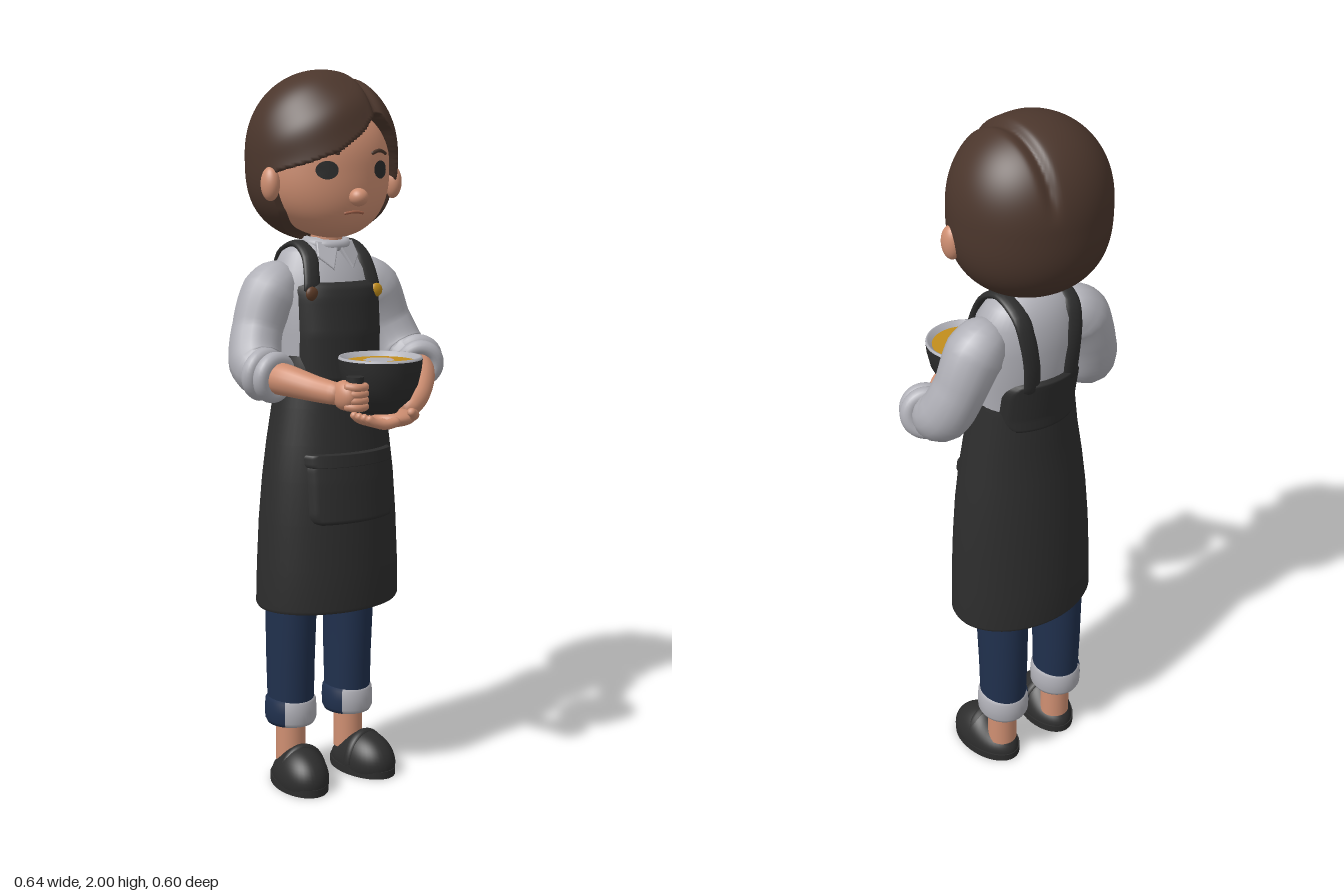
import * as THREE from 'three';
import { mergeVertices } from 'three/addons/utils/BufferGeometryUtils.js';

const mat = (name, color, side = THREE.FrontSide) => {
  const m = new THREE.MeshStandardMaterial({ color, side });
  m.name = name;
  return m;
};
const M = {
  hair: mat('brown hair', 0x4b362c),
  skin: mat('skin', 0xcf8f72),
  cloth: mat('light grey cloth', 0xb0b0b7, THREE.DoubleSide),
  apron: mat('charcoal', 0x2d2d2d, THREE.DoubleSide),
  denim: mat('dark denim', 0x20304d, THREE.DoubleSide),
  gold: mat('gold', 0xc28e1c, THREE.DoubleSide),
  lip: mat('lip', 0xa5644c),
  copper: mat('dark copper', 0x5e3c28),
};
const V = (x, y, z) => new THREE.Vector3(x, y, z);
const smooth = THREE.MathUtils.smoothstep;

// Move each vertex by a rule, weld seams and recompute smooth normals
function deform(geo, fn) {
  const p = geo.attributes.position, v = V();
  for (let i = 0; i < p.count; i++) {
    fn(v.fromBufferAttribute(p, i), i);
    p.setXYZ(i, v.x, v.y, v.z);
  }
  geo.deleteAttribute('uv');
  geo.deleteAttribute('normal');
  geo = mergeVertices(geo, 1e-5);
  geo.computeVertexNormals();
  return geo;
}

// Vertical loft; rows from top to bottom: [y, centreX, centreZ, radiusX, radiusZ]
function loft(rows) {
  const n = rows.length - 1;
  return deform(new THREE.CylinderGeometry(1, 1, 1, 48, n, true), (v) => {
    const r = rows[Math.round((0.5 - v.y) * n)];
    v.set(r[1] + v.x * r[3], r[0], r[2] + v.z * r[4]);
  });
}

// Front (s = 1) or back (s = -1) depth of a loft at x, y
function surf(rows, x, y, s) {
  let i = 0;
  while (i < rows.length - 2 && rows[i + 1][0] > y) i++;
  const a = rows[i], b = rows[i + 1];
  const t = THREE.MathUtils.clamp((a[0] - y) / (a[0] - b[0]), 0, 1);
  const [, cx, cz, rx, rz] = a.map((k, j) => k + (b[j] - k) * t);
  return cz + s * rz * Math.sqrt(Math.max(0, 1 - ((x - cx) / rx) ** 2));
}

// Cloth panel laid on a loft, with tucked edges and rounded corners
function panel(rows, w, y0, y1, s, off, corner) {
  return deform(new THREE.PlaneGeometry(2, 1, 24, 24), (v) => {
    const edge = Math.abs(v.x) > 0.99 || Math.abs(v.y) > 0.49;
    const y = y0 + (v.y + 0.5) * (y1 - y0);
    const d = Math.min(1, Math.min(y - y0, y1 - y) / corner);
    const x = v.x * (w - corner * (1 - Math.sqrt(Math.max(0, 1 - (1 - d) ** 2))));
    v.set(x, y, surf(rows, x, y, s) + s * (edge ? -0.004 : off));
  });
}

// Round-ended tube with a changing radius; sx widens it along x
function limb(points, radii, sx = 1) {
  const curve = new THREE.CatmullRomCurve3(points.map((p) => V(...p)));
  const seg = 28, rad = 16, len = curve.getLength();
  return deform(new THREE.TubeGeometry(curve, seg, 1, rad), (v, i) => {
    const t = Math.floor(i / (rad + 1)) / seg, c = curve.getPointAt(t);
    const k = Math.min(t * (radii.length - 1), radii.length - 1.0001), j = Math.floor(k);
    const r = radii.length < 2 ? radii[0] : radii[j] + (radii[j + 1] - radii[j]) * (k - j);
    const d = Math.min(1, Math.min(t, 1 - t) * len / r);
    v.sub(c).multiplyScalar(r * Math.sqrt(1 - (1 - d) ** 2));
    v.x *= sx;
    v.add(c);
  });
}

// Head surface: section size and depth for height t in -1..1
const HEAD = { y: 1.738, z: -0.09, rx: 0.186, ry: 0.185, rz: 0.163 };
const headW = (t) => Math.sqrt(Math.max(0, 1 - Math.abs(t) ** 2.4)) * (t < 0 ? 1 - 0.06 * t * t : 1);
const headShift = (t) => (t < 0 ? 0.045 * t * t : 0);
function headZ(x, y) {
  const t = (y - HEAD.y) / HEAD.ry, w = headW(t);
  return HEAD.z + headShift(t) + HEAD.rz * w * Math.sqrt(Math.max(0, 1 - (x / (HEAD.rx * w)) ** 2));
}

// Lower edge of the side-swept fringe
const fringe = [[-0.22, 1.72], [-0.19, 1.745], [-0.13, 1.76], [-0.06, 1.785], [0, 1.825], [0.05, 1.87], [0.08, 1.89], [0.12, 1.845], [0.16, 1.78], [0.19, 1.71], [0.22, 1.66]];
function fringeY(x) {
  const i = Math.max(1, fringe.findIndex((p) => p[0] > x));
  const [a, b] = [fringe[i - 1], fringe[i]];
  return a[1] + (b[1] - a[1]) * (x - a[0]) / (b[0] - a[0]);
}

const torso = [[1.555, 0, -0.09, 0.05, 0.045], [1.535, 0, -0.095, 0.09, 0.065], [1.515, 0, -0.1, 0.12, 0.082], [1.47, 0, -0.097, 0.148, 0.105], [1.4, 0, -0.09, 0.157, 0.12], [1.3, 0, -0.08, 0.152, 0.122], [1.2, 0, -0.073, 0.145, 0.113], [1.08, 0, -0.07, 0.14, 0.11]];
const skirt = [[1.24, 0, -0.073, 0.147, 0.113], [1.21, 0, -0.072, 0.152, 0.12], [1.1, 0, -0.07, 0.168, 0.125], [1, 0, -0.07, 0.185, 0.136], [0.9, 0, -0.071, 0.198, 0.145], [0.78, 0, -0.073, 0.208, 0.152], [0.65, 0, -0.074, 0.214, 0.158], [0.54, 0, -0.075, 0.217, 0.16], [0.53, 0, -0.075, 0.212, 0.155]];

export function createModel() {
  const g = new THREE.Group();
  g.name = 'cookInApron';
  const add = (name, geo, m, pos = [0, 0, 0], scale = [1, 1, 1]) => {
    const o = new THREE.Mesh(geo, m);
    o.name = name;
    o.position.set(...pos);
    o.scale.set(...scale);
    g.add(o);
    return o;
  };
  const ball = new THREE.SphereGeometry(1, 28, 20);

  // Head and face
  add('head', deform(new THREE.SphereGeometry(1, 64, 48), (v) => {
    const c = Math.max(1e-6, Math.sqrt(1 - v.y * v.y)), w = headW(v.y) / c;
    v.set(HEAD.rx * w * v.x, HEAD.y + HEAD.ry * v.y, HEAD.z + headShift(v.y) + HEAD.rz * w * v.z);
  }), M.skin);
  add('nose', ball, M.skin, [0, 1.665, 0.078], [0.026, 0.024, 0.026]);
  const onFace = (pts, r) => limb(pts.map(([x, y]) => [x, y, headZ(x, y)]), [r, r]);
  add('mouth', onFace([[-0.032, 1.622], [0, 1.626], [0.032, 1.622]], 0.004), M.lip);
  for (const s of [-1, 1]) {
    add('eye', deform(new THREE.CircleGeometry(1, 28), (v) => {
      const x = s * 0.085 + v.x * 0.028, y = 1.736 + v.y * 0.024;
      v.set(x, y, headZ(x, y) + 0.003);
    }), M.apron);
    add('eyebrow', onFace([[s * 0.05, 1.778], [s * 0.085, 1.786], [s * 0.12, 1.777]], 0.005), M.hair);
    add('ear', ball, M.skin, [s * 0.198, 1.7, -0.045], [0.024, 0.045, 0.03]);
  }
  add('neck', new THREE.CylinderGeometry(0.042, 0.046, 0.14, 28), M.skin, [0, 1.55, -0.078]);

  // Bobbed hair, cut back around the face, with a parting groove
  add('hair', deform(new THREE.SphereGeometry(1, 144, 110), (v) => {
    const c = Math.max(1e-6, Math.sqrt(1 - v.y * v.y));
    const w = Math.sqrt(Math.max(0, 1 - Math.abs(v.y) ** (v.y < 0 ? 2.9 : 2.2))) / c;
    let x = 0.212 * w * v.x, y = 0.23 * v.y, z = 0.2 * w * v.z;
    const groove = 0.06 * Math.exp(-(((x - 0.07) / 0.014) ** 2)) * smooth(y, 0.02, 0.12);
    const strands = x < 0.06 ? 0.008 * Math.sin(55 * (y - 0.5 * x)) * smooth(z, 0.02, 0.12) * smooth(0.06 - x, 0, 0.04) : 0;
    const k = 1 - groove + strands;
    x *= k; y = 1.77 + y * k; z = z * k - 0.1;
    const e = fringeY(x), low = -0.045 - 0.05 * (1 - smooth(y, 1.55, 1.63));
    v.set(x, y, Math.min(z, low + (0.13 - low) * smooth(y, e - 0.02, e + 0.008)));
  }), M.hair);

  // Shirt with collar
  add('shirt', loft(torso), M.cloth);
  add('collarBand', new THREE.TorusGeometry(0.055, 0.016, 12, 36).rotateX(Math.PI / 2 + 0.15), M.cloth, [0, 1.54, -0.082]);
  for (const s of [-1, 1]) {
    const flap = new THREE.Shape([[0.002, 0.03], [0.055, 0.045], [0.062, 0.005], [0.03, -0.035]].map(([x, y]) => new THREE.Vector2(s * x, y)));
    const f = add('collarFlap', new THREE.ExtrudeGeometry(flap, { depth: 0.008, bevelSize: 0.004, bevelThickness: 0.004, bevelSegments: 2 }), M.cloth, [0, 1.505, -0.012]);
    f.rotation.set(-0.5, s * 0.25, 0);
  }

  // Apron
  add('apronSkirt', loft(skirt), M.apron);
  add('apronBib', panel(torso, 0.13, 1.16, 1.44, 1, 0.014, 0.025), M.apron);
  add('apronBack', panel(torso, 0.125, 1.16, 1.32, -1, 0.012, 0.05), M.apron);
  add('apronPocket', panel(skirt, 0.138, 0.78, 0.965, 1, 0.013, 0.035), M.apron);
  add('pocketHem', panel(skirt, 0.142, 0.94, 0.978, 1, 0.018, 0.012), M.apron);
  for (const s of [-1, 1]) {
    const at = (x, y, side) => [s * x, y, surf(torso, x, y, side) + side * 0.003];
    add('apronStrap', limb([at(0.1, 1.4, 1), at(0.092, 1.46, 1), at(0.084, 1.51, 1), [s * 0.08, 1.537, -0.095], at(0.08, 1.505, -1), at(0.075, 1.45, -1), at(0.065, 1.37, -1), at(0.06, 1.28, -1)], [0.011, 0.011], 2.3), M.apron);
    add(s < 0 ? 'strapButton' : 'badge', new THREE.SphereGeometry(1, 20, 12), s < 0 ? M.copper : M.gold, [s * 0.105, 1.41, surf(torso, 0.105, 1.41, 1) + 0.016], [0.019, 0.019, 0.01]);
  }

  // Rolled sleeves
  for (const s of [-1, 1]) {
    add('sleeve', limb([[s * 0.09, 1.46, -0.1], [s * 0.165, 1.41, -0.1], [s * 0.218, 1.3, -0.09], [s * 0.242, 1.22, -0.05], [s * 0.24, 1.195, 0.035]], [0.06, 0.078, 0.07, 0.073, 0.062]), M.cloth);
    const dir = (s < 0 ? V(0.2, -0.1, 1) : V(-0.5, -0.25, 1)).normalize();
    for (const [d, r] of [[-0.03, 0.05], [0.012, 0.047]]) {
      const o = add('sleeveRoll', new THREE.TorusGeometry(r, 0.022, 14, 36), M.cloth, [s * 0.243 + dir.x * d, 1.2 + dir.y * d, 0.025 + dir.z * d]);
      o.quaternion.setFromUnitVectors(V(0, 0, 1), dir);
    }
  }

  // Right forearm and hand gripping a handle
  add('rightForearm', limb([[-0.242, 1.2, -0.01], [-0.228, 1.195, 0.08], [-0.192, 1.18, 0.17], [-0.165, 1.172, 0.25]], [0.046, 0.042, 0.034, 0.028]), M.skin);
  add('rightPalm', ball, M.skin, [-0.163, 1.172, 0.25], [0.026, 0.038, 0.042]);
  add('handle', new THREE.CylinderGeometry(0.023, 0.021, 0.075, 24), M.apron, [-0.135, 1.182, 0.258]);
  for (let i = 0; i < 4; i++) {
    const y = 1.198 - i * 0.017;
    add('rightFinger', limb([[-0.175, y, 0.265], [-0.15, y - 0.003, 0.288], [-0.12, y - 0.004, 0.282], [-0.11, y - 0.002, 0.262]], [0.012, 0.011, 0.009]), M.skin);
  }
  add('rightThumb', limb([[-0.17, 1.185, 0.225], [-0.145, 1.195, 0.222], [-0.115, 1.195, 0.235]], [0.015, 0.012, 0.01]), M.skin);

  // Left forearm and hand under the bowl
  add('leftForearm', limb([[0.245, 1.2, -0.01], [0.215, 1.178, 0.065], [0.155, 1.13, 0.135], [0.085, 1.095, 0.18]], [0.046, 0.043, 0.035, 0.026]), M.skin);
  add('leftPalm', ball, M.skin, [0.045, 1.085, 0.187], [0.06, 0.024, 0.048]);
  for (let i = 0; i < 4; i++) {
    const z = 0.153 + i * 0.024;
    add('leftFinger', limb([[0.03, 1.083, z], [-0.02, 1.078, z + 0.004], [-0.055, 1.088, z + 0.004], [-0.075, 1.105, z]], [0.014, 0.013, 0.01]), M.skin);
  }
  add('leftThumb', limb([[0.08, 1.09, 0.21], [0.065, 1.1, 0.245], [0.035, 1.115, 0.265]], [0.016, 0.013, 0.011]), M.skin);

  // Bowl of soup
  const lathe = (pts) => new THREE.LatheGeometry(pts.map((p) => new THREE.Vector2(...p)), 48);
  const bowl = [-0.002, 0, 0.183];
  add('bowl', lathe([[0, 1.105], [0.045, 1.105], [0.052, 1.115], [0.08, 1.14], [0.1, 1.18], [0.109, 1.22], [0.112, 1.248]]), M.apron, bowl);
  add('bowlRim', lathe([[0.112, 1.248], [0.11, 1.254], [0.105, 1.254], [0.09, 1.236]]), M.cloth, bowl);
  const disc = (name, r, m, x, y, z, wave) => add(name, deform(new THREE.CircleGeometry(r, 40), (v) => {
    const k = 1 + wave * Math.sin(5 * Math.atan2(v.y, v.x));
    v.set(x + v.x * k, y, z - v.y * k);
  }), m);
  disc('soup', 0.095, M.gold, -0.002, 1.241, 0.183, 0);
  disc('warmSwirl', 0.034, M.skin, 0.012, 1.243, 0.165, 0.06);
  disc('cream', 0.04, M.cloth, -0.008, 1.245, 0.184, 0.07);

  // Legs, turn-ups and shoes
  for (const s of [-1, 1]) {
    add('trouserLeg', loft([[0.95, s * 0.08, -0.09, 0.08, 0.09], [0.7, s * 0.092, -0.11, 0.074, 0.09], [0.5, s * 0.098, -0.116, 0.068, 0.084], [0.35, s * 0.098, -0.12, 0.066, 0.077], [0.19, s * 0.098, -0.12, 0.064, 0.07]]), M.denim);
    const cuff = [[0.05, 0.172], [0.066, 0.17], [0.072, 0.182], [0.073, 0.21], [0.071, 0.238], [0.064, 0.248], [0.055, 0.245]].map((p) => new THREE.Vector2(...p));
    const a = Math.PI * 1.5 - 0.75;
    add('turnUpInside', new THREE.LatheGeometry(cuff, 14, a, 1.5), M.denim, [s * 0.098, 0, -0.12], [1, 1, 1.07]);
    add('turnUp', new THREE.LatheGeometry(cuff, 36, a + 1.5, Math.PI * 2 - 1.5), M.cloth, [s * 0.098, 0, -0.12], [1, 1, 1.07]);
    add('ankle', new THREE.CylinderGeometry(0.042, 0.043, 0.15, 24), M.skin, [s * 0.1, 0.13, -0.118]);
    const shoe = add('shoe', deform(new THREE.SphereGeometry(1, 40, 28), (v) => {
      const h = 0.082 + 0.034 * smooth(v.z, -0.6, 0.1);
      v.set(v.x * 0.072 * (1 + 0.1 * v.z), h * (Math.max(-0.35, v.y) + 0.35) / 1.35, v.z * 0.116);
    }), M.apron, [s * 0.11, 0, -0.057]);
    const sole = add('sole', new THREE.CylinderGeometry(1, 1, 0.022, 40), M.apron, [s * 0.11, 0.011, -0.057], [0.073, 1, 0.118]);
    const strap = add('shoeStrap', new THREE.TorusGeometry(0.064, 0.011, 10, 28, Math.PI), M.apron, [s * 0.108, 0.03, -0.045], [1, 1.22, 1.4]);
    for (const o of [shoe, sole, strap]) o.rotation.y = s * 0.12;
  }
  return g;
}
